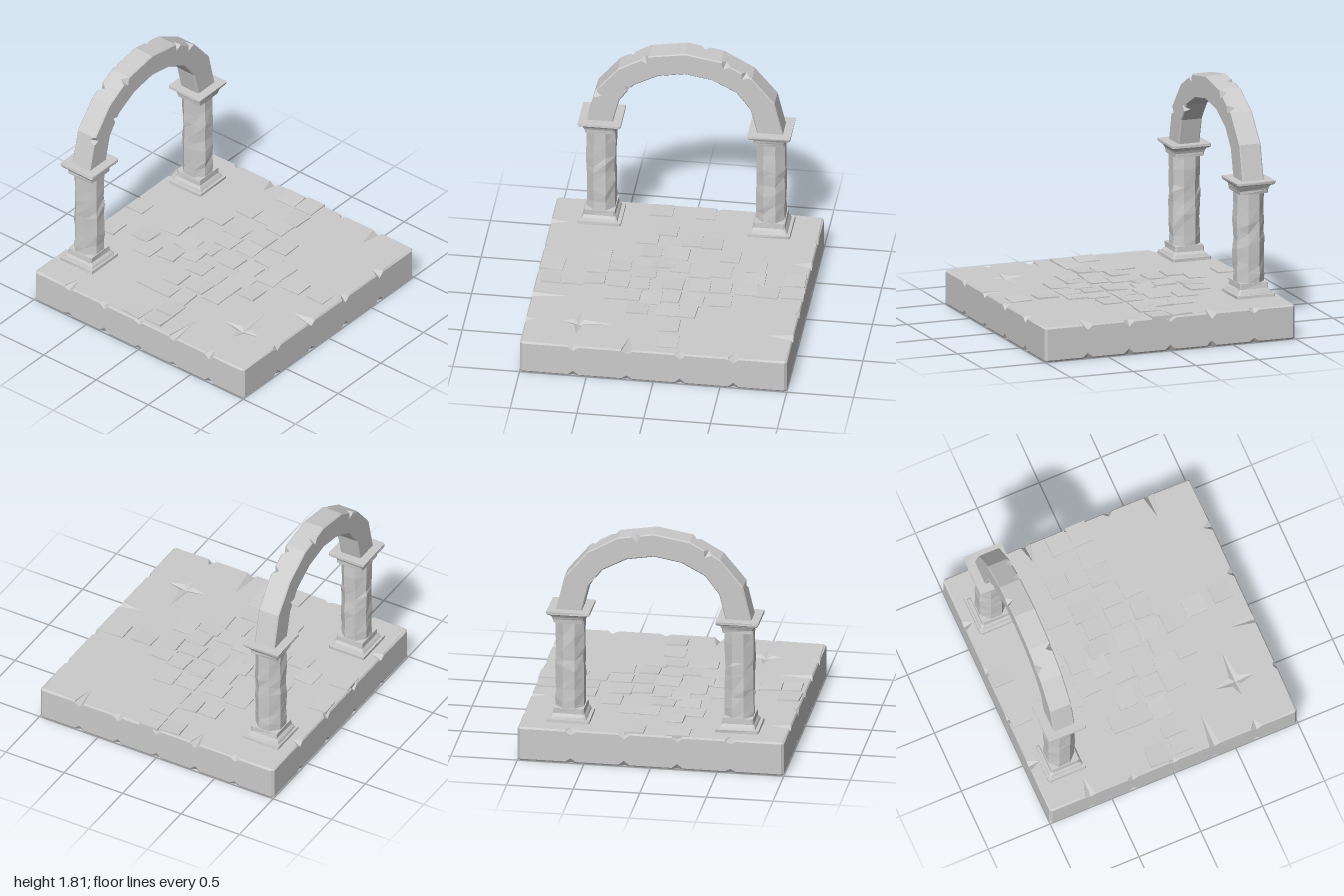
import * as THREE from 'three';

const stone = new THREE.MeshStandardMaterial({ color: 0xcccccc, flatShading: true });
const thinStone = new THREE.MeshStandardMaterial({ color: 0xcccccc, flatShading: true, side: THREE.DoubleSide });
const V = (x, y, z) => new THREE.Vector3(x, y, z);

let seed = 7;
const jitter = (amount) => {
  seed = (seed * 16807) % 2147483647;
  return (seed / 2147483647 * 2 - 1) * amount;
};

function mesh(name, geometry, material = stone) {
  const m = new THREE.Mesh(geometry, material);
  m.name = name;
  return m;
}

// Skin a list of equal-length rings, with optional end caps
function loft(rings, caps = true) {
  const pts = [];
  const n = rings[0].length;
  for (let r = 0; r < rings.length - 1; r++) {
    const a = rings[r], b = rings[r + 1];
    for (let i = 0; i < n; i++) {
      const j = (i + 1) % n;
      pts.push(a[i], a[j], b[j], a[i], b[j], b[i]);
    }
  }
  if (caps) {
    const first = rings[0], last = rings[rings.length - 1];
    for (let i = 1; i < n - 1; i++) {
      pts.push(first[0], first[i + 1], first[i], last[0], last[i], last[i + 1]);
    }
  }
  const g = new THREE.BufferGeometry().setFromPoints(pts);
  g.computeVertexNormals();
  return g;
}

// Four corners, each cut back by its own chamfer
function chamfered(corners, cuts) {
  return corners.flatMap((p, k) => [corners[(k + 3) % 4], corners[(k + 1) % 4]].map((q) =>
    p.clone().add(q.clone().sub(p).setLength(cuts[k]))));
}

// Square blocks stacked from [y, half x, half z] levels
function squareLoft(levels) {
  return loft(levels.map(([y, hx, hz]) => {
    const corners = [[1, 1], [1, -1], [-1, -1], [-1, 1]].map(([sx, sz]) =>
      V(sx * hx + jitter(0.003), y + jitter(0.002), sz * hz + jitter(0.003)));
    return chamfered(corners, [0.008, 0.012, 0.006, 0.01]);
  }));
}

function createSlab() {
  const slab = new THREE.Group();
  slab.name = 'slab';
  const up = V(0, 1, 0);
  // Chips on each side: [position along the side, depth into the top]
  const sides = [
    [[-0.67, 0.14], [-0.33, 0.02], [0, 0.02], [0.33, 0.25], [0.67, 0.06]],
    [[-0.6, 0.02], [-0.2, 0.18], [0.2, 0.04], [0.6, 0.06]],
    [[-0.66, 0.18], [-0.33, 0.03], [0, 0.02], [0.33, 0.13], [0.67, 0.03]],
    [[-0.6, 0.06], [-0.2, 0.03], [0.2, 0.07], [0.6, 0.08]],
  ];
  const rings = [[], [], [], []];
  sides.forEach((chips, s) => {
    const add = (u, inset, dip) => {
      const edge = [[0, 0.008 + dip * 0.6], [0.012 + dip, 0], [0.25 - dip, 0], [0.262, 0.008 + inset]];
      edge.forEach(([y, d], r) => rings[r].push(V(u, y, 1 - d).applyAxisAngle(up, s * Math.PI / 2)));
    };
    add(-0.98, 0.008, 0);
    for (const [u, depth] of chips) {
      add(u - 0.04, 0, 0);
      add(u, depth, 0.03 + jitter(0.01));
      add(u + 0.04, 0, 0);
    }
    add(0.98, 0.008, 0);
  });
  slab.add(mesh('slabSides', loft(rings, false), thinStone));

  // Top with a shallow star-shaped dent; the underside is hollow
  const star = Array.from({ length: 8 }, (_, i) => {
    const a = i * Math.PI / 4, r = i % 2 ? 0.05 : [0.16, 0.25, 0.17, 0.12][i / 2];
    return V(0.67 + Math.cos(a) * r, 0.262, 0.6 - Math.sin(a) * r);
  });
  const flat = (p) => new THREE.Vector2(p.x, -p.z);
  const shape = new THREE.Shape(rings[3].map(flat));
  shape.holes.push(new THREE.Path(star.map(flat)));
  const top = new THREE.ShapeGeometry(shape).rotateX(-Math.PI / 2).translate(0, 0.262, 0);
  slab.add(mesh('slabTop', top, thinStone));
  const pit = star.map(() => V(0.67, 0.238, 0.6));
  slab.add(mesh('starDent', loft([star, pit], false), thinStone));
  return slab;
}

function createPaving() {
  const paving = new THREE.Group();
  paving.name = 'paving';
  const spots = [
    [-.1, -.91], [.07, -.92], [.08, -.73], [-.24, -.6], [-.07, -.61], [.07, -.57], [-.36, -.39], [-.15, -.35],
    [.07, -.38], [.25, -.4], [-.52, -.23], [-.12, -.2], [.07, -.22], [.27, -.2], [.42, -.17], [-.53, -.08],
    [-.34, 0], [-.17, -.04], [.06, -.02], [.24, -.02], [.43, -.03], [.63, -.07], [.85, -.09], [.28, .12],
    [.43, .2], [-.21, .09], [-.07, .2], [.09, .23], [-.52, .25], [-.35, .2], [.25, .28], [-.13, .4],
    [.08, .38], [.25, .4], [-.24, .56], [-.09, .56], [.07, .57], [.09, .73], [-.09, .9], [.1, .89],
    [-.91, -.13], [-.91, .2], [-.65, .12],
  ];
  for (const [x, z] of spots) {
    const tile = mesh('pavingStone', new THREE.BoxGeometry(0.155 + jitter(0.012), 0.024, 0.155 + jitter(0.012)));
    tile.position.set(x, 0.259, z);
    tile.rotation.set(jitter(0.05), jitter(0.06), jitter(0.05));
    paving.add(tile);
  }
  return paving;
}

function createColumn() {
  const column = new THREE.Group();
  column.name = 'column';
  column.add(mesh('plinth', squareLoft([[0.285, 0.15, 0.16], [0.308, 0.15, 0.16]])));
  column.add(mesh('columnBase', squareLoft([[0.305, 0.136, 0.136], [0.325, 0.128, 0.13], [0.345, 0.113, 0.116], [0.388, 0.112, 0.114]])));
  // Worn eight-sided shaft
  const heights = [0.38, 0.45, 0.54, 0.62, 0.7, 0.78, 0.85, 0.96, 1.075];
  const shaft = heights.map((y, r) => Array.from({ length: 8 }, (_, i) => {
    const worn = r > 0 && r < heights.length - 1;
    const a = (i + 0.5) * Math.PI / 4, radius = 0.116 + (worn ? jitter(0.006) : 0);
    return V(Math.cos(a) * radius, y + (worn ? jitter(0.025) : 0), -Math.sin(a) * radius);
  }));
  column.add(mesh('shaft', loft(shaft)));
  column.add(mesh('capital', squareLoft([[1.068, 0.11, 0.113], [1.095, 0.112, 0.116], [1.115, 0.12, 0.124], [1.142, 0.136, 0.14]])));
  column.add(mesh('abacus', squareLoft([[1.138, 0.145, 0.152], [1.148, 0.152, 0.16], [1.166, 0.152, 0.16]])));
  return column;
}

function createArch() {
  // Half profiles as [z, y], mirrored over the crown
  const mirror = (half) => [...half, ...half.slice(0, -1).reverse().map(([z, y]) => [-z, y])];
  const outer = mirror([[.735, 1.16], [.67, 1.43], [.5, 1.635], [.27, 1.765], [0, 1.81]]);
  const inner = mirror([[.54, 1.16], [.49, 1.36], [.385, 1.5], [.205, 1.595], [0, 1.63]]);
  const at = (line, t) => {
    const i = Math.min(Math.floor(t), 7), f = t - i;
    return [0, 1].map((c) => line[i][c] * (1 - f) + line[i + 1][c] * f);
  };
  // Chips: [place along the arch, corner of the section]
  const chips = [[0.9, 0], [1.7, 1], [2.4, 3], [2.85, 0], [4.5, 3], [5.15, 0], [5.8, 0], [6.6, 2]];
  const stations = Array.from({ length: 9 }, (_, t) => ({ t }));
  for (const [t, corner] of chips) stations.push({ t: t - 0.12 }, { t, corner }, { t: t + 0.12 });
  stations.sort((a, b) => a.t - b.t);
  const h = 0.085;
  return mesh('arch', loft(stations.map(({ t, corner }) => {
    const [oz, oy] = at(outer, t), [iz, iy] = at(inner, t);
    const corners = [V(h, oy, oz), V(h, iy, iz), V(-h, iy, iz), V(-h, oy, oz)];
    return chamfered(corners, [0, 1, 2, 3].map((k) => (k === corner ? 0.05 : 0.008)));
  })));
}

export function createModel() {
  const model = new THREE.Group();
  model.name = 'ruinedArch';
  model.add(createSlab(), createPaving());
  const gateway = new THREE.Group();
  gateway.name = 'gateway';
  gateway.position.x = -0.77;
  for (const side of [1, -1]) {
    const column = createColumn();
    column.position.z = side * 0.635;
    column.rotation.y = side > 0 ? 0 : Math.PI;
    gateway.add(column);
  }
  gateway.add(createArch());
  model.add(gateway);
  return model;
}
